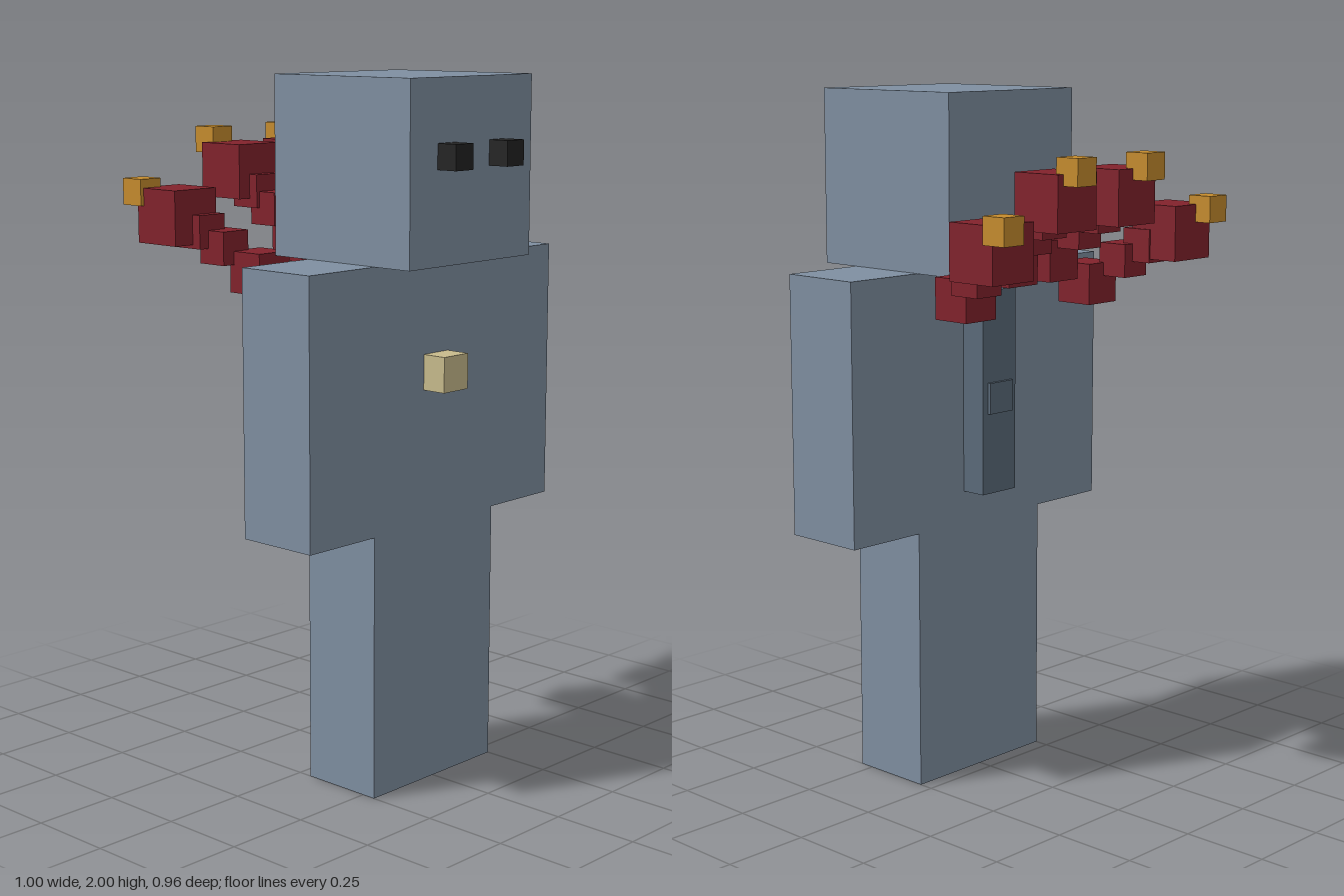
import * as THREE from 'three';

const mat = (name, color) => {
  const m = new THREE.MeshStandardMaterial({ color });
  m.name = name;
  return m;
};

export function createModel() {
  const model = new THREE.Group();
  model.name = 'figure';

  const slate = mat('slate blue', 0x7f8fa1);
  const darkSlate = mat('dark slate', 0x5b6b7a);
  const red = mat('dark red', 0x82222c);
  const gold = mat('gold', 0xc68c2d);
  const sand = mat('sand', 0xc8bb8c);
  const black = mat('black', 0x222222);

  // Box from its centre and size
  const box = (parent, name, material, [x, y, z], [w, h, d]) => {
    const mesh = new THREE.Mesh(new THREE.BoxGeometry(w, h, d), material);
    mesh.name = name;
    mesh.position.set(x, y, z);
    parent.add(mesh);
  };

  // Head, trunk and limbs
  box(model, 'head', slate, [0, 1.75, 0.166], [0.5, 0.5, 0.5]);
  box(model, 'torso', slate, [0, 1.128, 0.167], [0.5, 0.745, 0.25]);
  for (const [side, s] of [['left', 1], ['right', -1]]) {
    box(model, side + 'Arm', slate, [s * 0.375, 1.128, 0.167], [0.25, 0.745, 0.25]);
    box(model, side + 'Leg', slate, [s * 0.125, 0.378, 0.167], [0.25, 0.756, 0.25]);
    box(model, side + 'Eye', black, [s * 0.106, 1.793, 0.447], [0.07, 0.07, 0.065]);
  }

  // Chest block, spine plate and its button
  box(model, 'chestBlock', sand, [0, 1.19, 0.329], [0.1, 0.1, 0.075]);
  box(model, 'spinePlate', darkSlate, [0, 1.145, 0.005], [0.135, 0.59, 0.08]);
  box(model, 'spineButton', darkSlate, [0, 1.13, -0.035], [0.095, 0.09, 0.02]);

  // Back tendrils: centres per segment as [x, y], shared depth and size
  const depth = [-0.147, -0.237, -0.298, -0.357, -0.447];
  const size = [0.117, 0.095, 0.095, 0.155, 0.075];
  const chains = {
    inner: [[0.084, 1.53], [0.103, 1.614], [0.113, 1.662], [0.123, 1.718], [0.142, 1.802]],
    outer: [[0.251, 1.45], [0.302, 1.518], [0.335, 1.562], [0.37, 1.603], [0.421, 1.668]],
  };
  for (const [kind, points] of Object.entries(chains)) {
    for (const [side, s] of [['Left', 1], ['Right', -1]]) {
      const tendril = new THREE.Group();
      tendril.name = kind + side + 'Tendril';
      points.forEach(([x, y], i) => {
        const tip = i === points.length - 1;
        box(tendril, tip ? 'tip' : 'segment' + (i + 1), tip ? gold : red,
          [s * x, y, depth[i]], [size[i], size[i], size[i]]);
      });
      model.add(tendril);
    }
  }

  return model;
}
